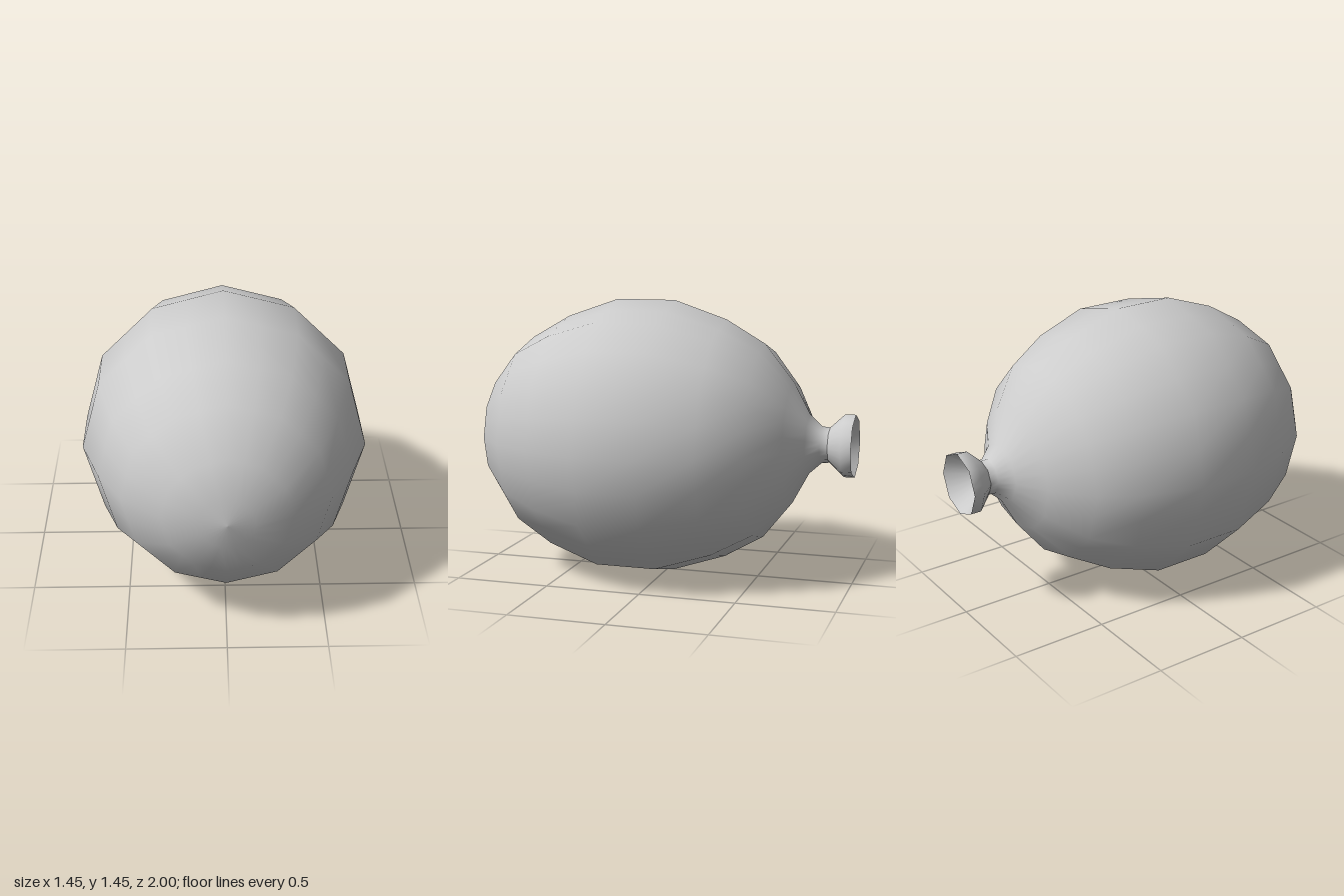
import * as THREE from 'three';

const AXIS_HEIGHT = 0.725;
const STEPS = 24; // holds both 12- and 8-sided rings

// Lathe along z from [radius, z, sides] rows; each ring is pulled in to a regular polygon.
function polygonLathe(name, rows, material) {
  const geometry = new THREE.LatheGeometry(rows.map(([r, z]) => new THREE.Vector2(r, z)), STEPS);
  const pos = geometry.attributes.position;
  for (let i = 0; i <= STEPS; i++) {
    const phi = (i / STEPS) * Math.PI * 2;
    rows.forEach(([, , sides], j) => {
      const sector = (Math.PI * 2) / sides;
      const offset = phi - Math.round(phi / sector - 0.5) * sector - sector / 2;
      const k = Math.cos(sector / 2) / Math.cos(offset);
      const v = i * rows.length + j;
      pos.setX(v, pos.getX(v) * k);
      pos.setZ(v, pos.getZ(v) * k);
    });
  }
  geometry.rotateX(Math.PI / 2);
  const mesh = new THREE.Mesh(geometry, material);
  mesh.name = name;
  mesh.position.y = AXIS_HEIGHT;
  return mesh;
}

export function createModel() {
  const group = new THREE.Group();
  group.name = 'balloon';
  const material = new THREE.MeshStandardMaterial({ color: 0xcccccc });
  const thin = new THREE.MeshStandardMaterial({ color: 0xcccccc, side: THREE.DoubleSide });

  // Inflated body, narrowing into the eight-sided neck at the back
  group.add(polygonLathe('body', [
    [0.092, -0.87, 8], [0.095, -0.83, 8], [0.155, -0.765, 8],
    [0.315, -0.68, 12], [0.51, -0.525, 12], [0.63, -0.32, 12],
    [0.725, -0.04, 12], [0.725, 0.275, 12], [0.63, 0.55, 12],
    [0.51, 0.76, 12], [0.315, 0.922, 12], [0.135, 0.982, 12], [0, 1, 12],
  ], material));

  // Flared lip of the mouthpiece
  group.add(polygonLathe('lipOutside', [
    [0.163, -1, 8], [0.163, -0.945, 8], [0.092, -0.87, 8],
  ], thin));

  // Funnel inside the lip
  group.add(polygonLathe('lipInside', [
    [0, -0.875, 8], [0.08, -0.9, 8], [0.163, -1, 8],
  ], thin));

  return group;
}
